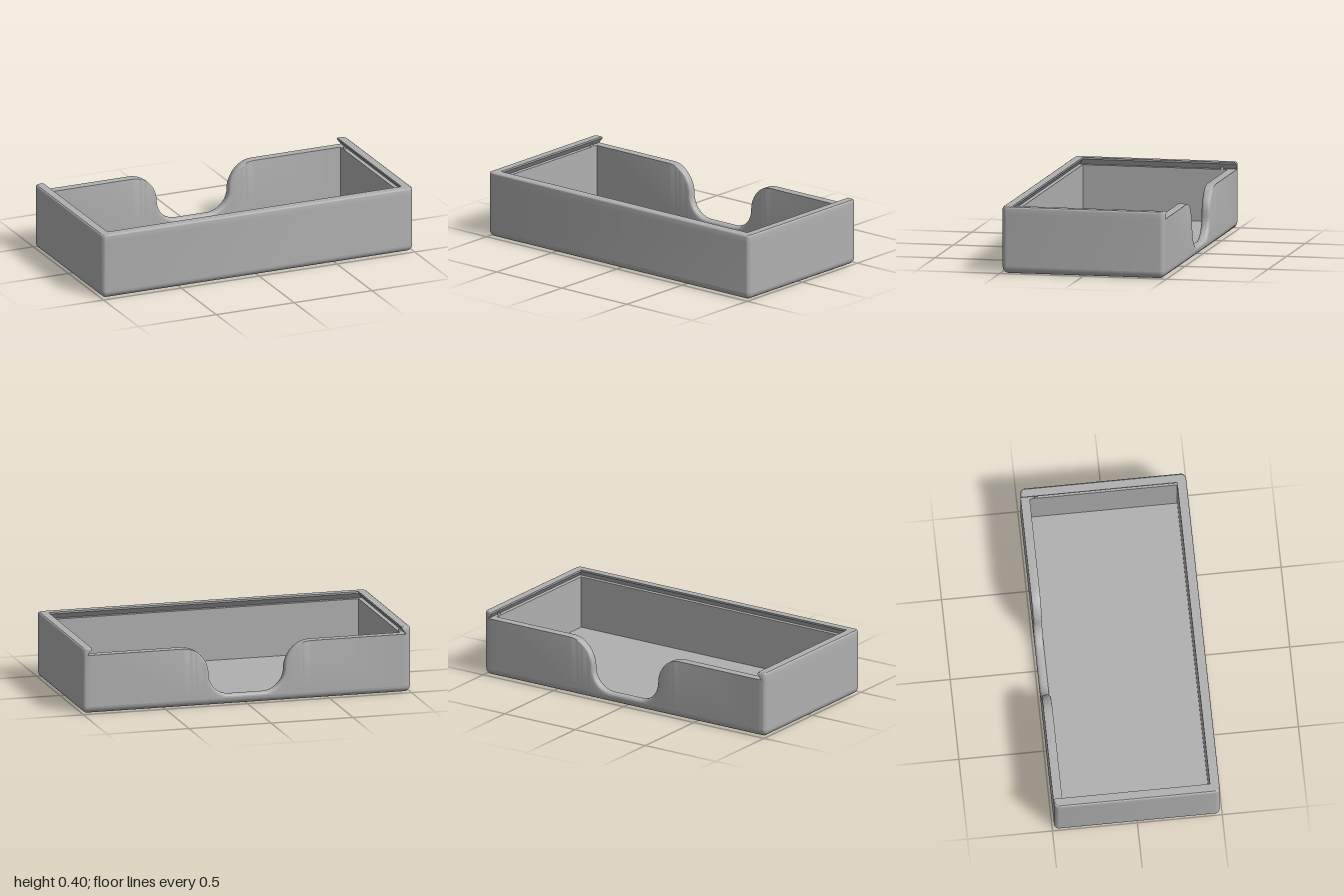
import * as THREE from 'three';
import { toCreasedNormals } from 'three/addons/utils/BufferGeometryUtils.js';

const HX = 1, HZ = 0.488, R = 0.03;             // half width, half depth, corner radius
const FLOOR = 0.04, LEDGE = 0.352, TOP = 0.395; // main heights
const WALL = 0.055;

// Joins closed rings of points; optional caps for rings lying flat
function loft(rings, { bottom = false, top = false } = {}) {
  const pos = [];
  const tri = (a, b, c) => {
    const area = b.clone().sub(a).cross(c.clone().sub(a)).length();
    if (area > 1e-10) for (const p of [a, b, c]) pos.push(p.x, p.y, p.z);
  };
  for (let i = 0; i < rings.length - 1; i++) {
    const lo = rings[i], hi = rings[i + 1], n = lo.length;
    for (let j = 0; j < n; j++) {
      const k = (j + 1) % n;
      tri(lo[j], lo[k], hi[k]);
      tri(lo[j], hi[k], hi[j]);
    }
  }
  const cap = (ring, up) => {
    const flat = ring.map(p => new THREE.Vector2(p.x, -p.z));
    for (const [a, b, c] of THREE.ShapeUtils.triangulateShape(flat, [])) {
      if (up) tri(ring[a], ring[b], ring[c]);
      else tri(ring[a], ring[c], ring[b]);
    }
  };
  if (bottom) cap(rings[0], false);
  if (top) cap(rings[rings.length - 1], true);
  const geo = new THREE.BufferGeometry();
  geo.setAttribute('position', new THREE.Float32BufferAttribute(pos, 3));
  return toCreasedNormals(geo, 0.5);
}

// Rounded rectangle at height y, shrunk by inset, starting at the back -x corner
function outline(y, inset) {
  const r = Math.max(R - inset, 0.002), pts = [];
  [[-1, -1], [-1, 1], [1, 1], [1, -1]].forEach(([sx, sz], c) => {
    for (let i = 0; i <= 6; i++) {
      const a = (Math.PI / 2) * (c + 1 + i / 6);
      pts.push(new THREE.Vector3(
        sx * (HX - inset - r) + r * Math.cos(a), y,
        sz * (HZ - inset - r) - r * Math.sin(a)));
    }
  });
  return pts;
}

// U-shaped wall plan, open at the back
function wallRing(y, inset, inner) {
  const back = -HZ + inset, front = HZ - inner, side = HX - inner;
  return [...outline(y, inset),
    new THREE.Vector3(side, y, back), new THREE.Vector3(side, y, front),
    new THREE.Vector3(-side, y, front), new THREE.Vector3(-side, y, back)];
}

// Top edge of the back wall: [x, y, normal x, normal y, rounding]
function notchProfile() {
  const big = 0.162, small = 0.13, edge = 0.23, cy = LEDGE - big, round = 0.018;
  const half = [[HX - WALL, LEDGE, 0, 1, 0]];
  for (let i = 0; i <= 14; i++) {
    const a = Math.PI / 2 * (1 + i / 14), c = Math.cos(a), s = Math.sin(a);
    half.push([edge + big + big * c, cy + big * s, c, s,
      round * THREE.MathUtils.smoothstep(i / 14, 0, 0.7)]);
  }
  for (let i = 1; i <= 14; i++) {
    const a = -Math.PI / 2 * i / 14, c = Math.cos(a), s = Math.sin(a);
    half.push([edge - small + small * c, cy + small * s, -c, -s, round]);
  }
  const mirrored = half.map(([x, y, nx, ny, f]) => [-x, y, -nx, ny, f]);
  return [...mirrored, ...half.reverse()];
}

// Cross-section of the back wall with its rounded top edge
function backSection([x, y, nx, ny, f]) {
  const z0 = -HZ, z1 = -HZ + 0.053, steps = 6, ring = [];
  const at = (drop, z) => new THREE.Vector3(x - nx * drop, y - ny * drop, z);
  const foot = z => new THREE.Vector3(x - nx * f, FLOOR, z);
  ring.push(foot(z0));
  for (let i = 0; i <= steps; i++) {
    const a = Math.PI / 2 * i / steps;
    ring.push(at(f * (1 - Math.sin(a)), z0 + f * (1 - Math.cos(a))));
  }
  for (let i = steps; i >= 0; i--) {
    const a = Math.PI / 2 * i / steps;
    ring.push(at(f * (1 - Math.sin(a)), z1 - f * (1 - Math.cos(a))));
  }
  ring.push(foot(z1));
  return ring;
}

export function createModel() {
  const group = new THREE.Group();
  group.name = 'slidingLidTray';
  const grey = new THREE.MeshStandardMaterial({ color: 0xb0b0b0 });
  grey.name = 'grey';
  const add = (name, geo) => {
    const mesh = new THREE.Mesh(geo, grey);
    mesh.name = name;
    group.add(mesh);
    return mesh;
  };

  // Floor with rounded lower edge
  const floorRings = [];
  for (let i = 0; i <= 8; i++) {
    const a = Math.PI / 2 * i / 8;
    floorRings.push(outline(FLOOR * (1 - Math.cos(a)), FLOOR * (1 - Math.sin(a))));
  }
  add('floor', loft(floorRings, { bottom: true, top: true }));

  // Front and side walls with the undercut lid groove: [y, outer inset, inner inset]
  const levels = [
    [FLOOR, 0, WALL], [LEDGE, 0, WALL], [LEDGE, 0, 0.03], [0.385, 0, WALL],
    [0.388, 0.0006, WALL], [0.392, 0.003, WALL], [TOP, 0.008, WALL],
  ];
  add('frontAndSideWalls', loft(levels.map(l => wallRing(...l)), { top: true }));

  // Lower back wall with the finger notch
  add('backWall', loft(notchProfile().map(backSection)));

  // Small lid catches on the side ledges
  for (const s of [-1, 1]) {
    const bump = add(s > 0 ? 'leftCatch' : 'rightCatch',
      new THREE.CylinderGeometry(0.007, 0.01, 0.014, 16));
    bump.position.set(s * 0.955, LEDGE + 0.007, -0.4);
  }
  return group;
}
